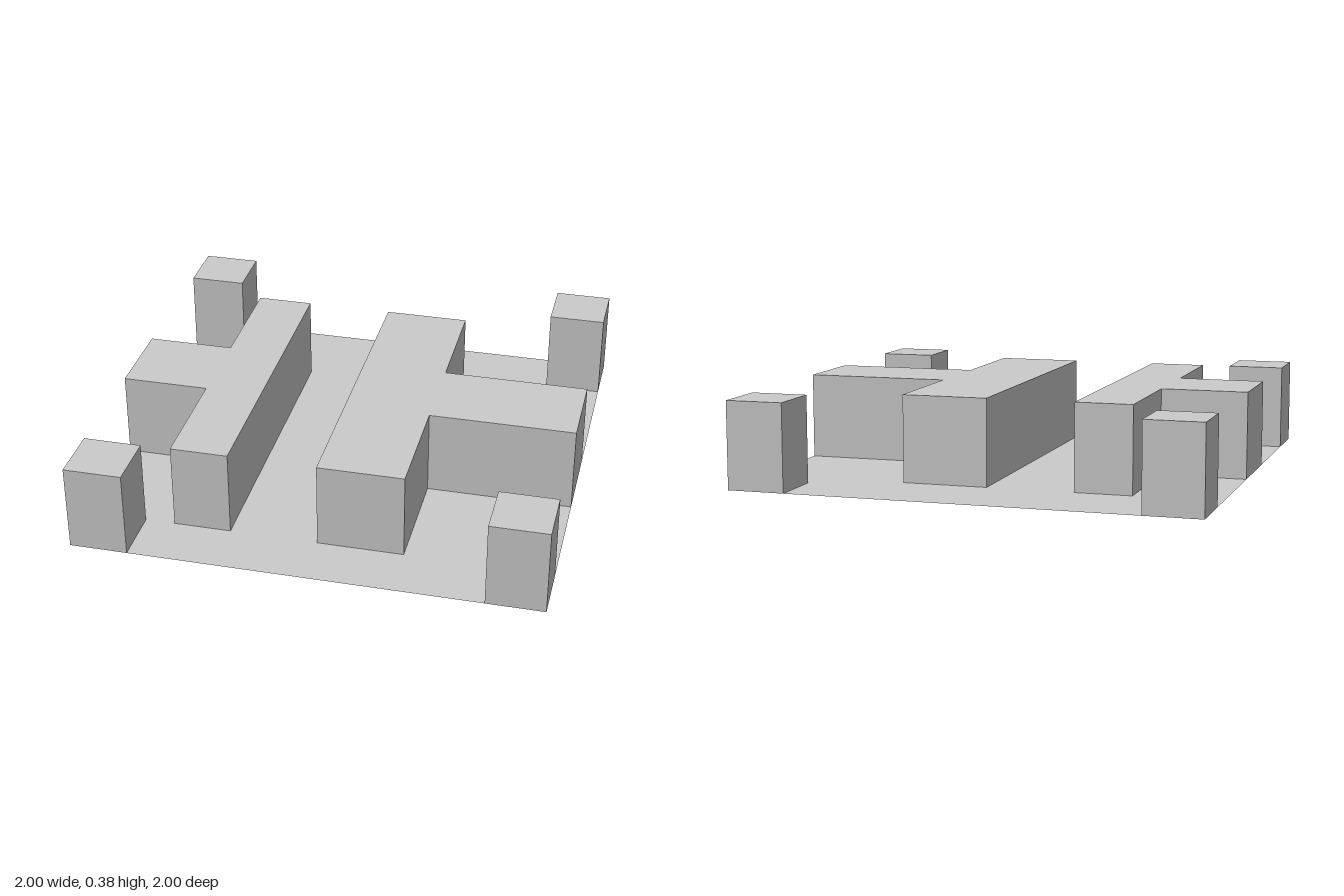
import * as THREE from 'three';
import { mergeGeometries } from 'three/addons/utils/BufferGeometryUtils.js';

const HEIGHT = 0.375;
const material = new THREE.MeshStandardMaterial({ color: 0xcccccc, side: THREE.DoubleSide });

// Flat, upward-facing sheet from an [x, z] outline, counter-clockwise seen from above
function sheet(points, y) {
  const shape = new THREE.Shape(points.map(([x, z]) => new THREE.Vector2(x, -z)));
  return new THREE.ShapeGeometry(shape).rotateX(-Math.PI / 2).translate(0, y, 0);
}

// Hollow block: a roof and one wall per outline edge, open underneath
function hollowBlock(points) {
  const faces = [sheet(points, HEIGHT)];
  points.forEach(([ax, az], i) => {
    const [bx, bz] = points[(i + 1) % points.length];
    const wall = new THREE.PlaneGeometry(Math.hypot(bx - ax, bz - az), HEIGHT);
    wall.rotateY(Math.atan2(az - bz, bx - ax));
    wall.translate((ax + bx) / 2, HEIGHT / 2, (az + bz) / 2);
    faces.push(wall);
  });
  return mergeGeometries(faces);
}

export function createModel() {
  const group = new THREE.Group();
  const add = (name, geometry) => {
    const mesh = new THREE.Mesh(geometry, material);
    mesh.name = name;
    group.add(mesh);
  };

  // T-shaped blocks reaching the left and right edges
  const leftT = [
    [0, 0.75], [0.37, 0.75], [0.37, 0.245], [1, 0.245],
    [1, -0.128], [0.37, -0.128], [0.37, -0.627], [0, -0.627],
  ];
  const rightT = [
    [-0.625, 0.75], [-0.378, 0.75], [-0.378, -0.627], [-0.625, -0.627],
    [-0.625, -0.128], [-1, -0.128], [-1, 0.245], [-0.625, 0.245],
  ];
  add('leftTBlock', hollowBlock(leftT));
  add('rightTBlock', hollowBlock(rightT));

  // Square posts at the four corners
  const [inner, outer] = [0.752, 1];
  for (const sx of [-1, 1]) {
    for (const sz of [-1, 1]) {
      const [x0, x1] = sx > 0 ? [inner, outer] : [-outer, -inner];
      const [z0, z1] = sz > 0 ? [inner, outer] : [-outer, -inner];
      add('cornerPost', hollowBlock([[x0, z1], [x1, z1], [x1, z0], [x0, z0]]));
    }
  }

  // Thin floor, cut away beneath every block
  const floor = [
    [-inner, 1], [inner, 1], [inner, inner], [1, inner],
    // around the left T
    [1, 0.245], [0.37, 0.245], [0.37, 0.75], [0, 0.75],
    [0, -0.627], [0.37, -0.627], [0.37, -0.128], [1, -0.128],
    // back edge
    [1, -inner], [inner, -inner], [inner, -1],
    [-inner, -1], [-inner, -inner], [-1, -inner],
    // around the right T
    [-1, -0.128], [-0.625, -0.128], [-0.625, -0.627], [-0.378, -0.627],
    [-0.378, 0.75], [-0.625, 0.75], [-0.625, 0.245], [-1, 0.245],
    [-1, inner], [-inner, inner],
  ];
  add('floor', sheet(floor, 0));

  return group;
}
